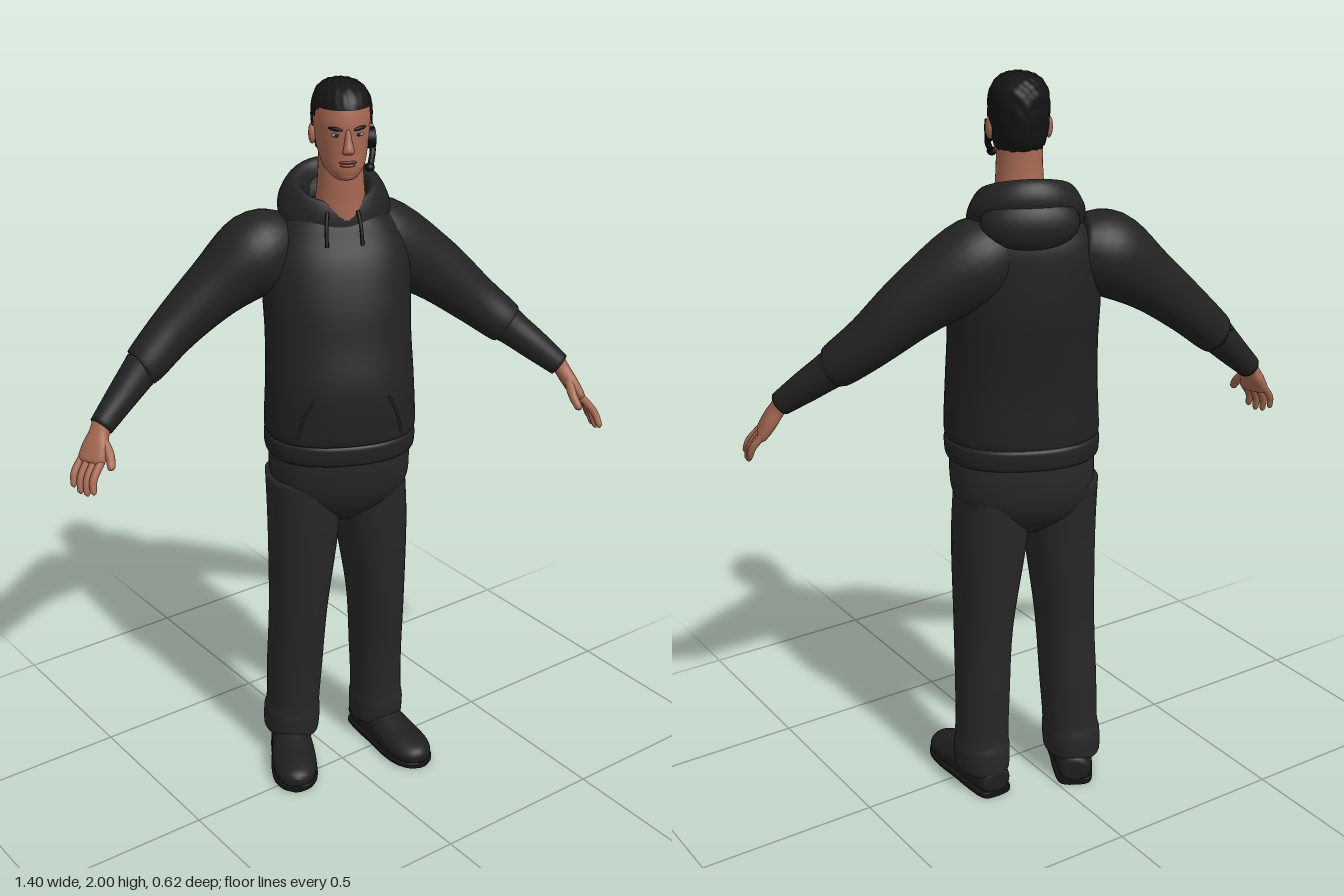
import * as THREE from 'three';

const mat = (name, color, side = THREE.FrontSide) => {
  const m = new THREE.MeshStandardMaterial({ color, side });
  m.name = name;
  return m;
};
const V = (x, y, z) => new THREE.Vector3(x, y, z);
const UP = V(0, 1, 0);

// Smooth interpolation of rows [x, y, z, halfWidth, halfDepth]
function densify(rows, steps) {
  const out = [], at = i => rows[Math.max(0, Math.min(rows.length - 1, i))];
  for (let i = 0; i < rows.length - 1; i++) {
    for (let s = 0; s < steps; s++) {
      const t = s / steps, [p, q, r, w] = [at(i - 1), at(i), at(i + 1), at(i + 2)];
      out.push(q.map((b, k) => {
        const a = p[k], c = r[k], d = w[k];
        return 0.5 * (2 * b + (c - a) * t + (2 * a - 5 * b + 4 * c - d) * t * t + (3 * b - a - 3 * c + d) * t * t * t);
      }));
    }
  }
  out.push(at(rows.length - 1));
  return out;
}

// Skin of rounded rings; axis fixes the ring direction, otherwise rings follow the path
function loft(rows, { side = V(1, 0, 0), axis = null, n = 2, seg = 32, steps = 5, caps = true } = {}) {
  const d = densify(rows, steps), pos = [], idx = [];
  const pt = i => V(...d[Math.max(0, Math.min(d.length - 1, i))].slice(0, 3));
  const pw = c => Math.sign(c) * Math.pow(Math.abs(c), 2 / n);
  d.forEach((row, i) => {
    const t = axis ? axis.clone().normalize() : pt(i + 1).sub(pt(i - 1)).normalize();
    const u = side.clone().addScaledVector(t, -side.dot(t)).normalize(), v = t.clone().cross(u);
    for (let j = 0; j < seg; j++) {
      const th = j / seg * Math.PI * 2;
      const p = pt(i).addScaledVector(u, pw(Math.cos(th)) * Math.max(row[3], 0.001))
        .addScaledVector(v, pw(Math.sin(th)) * Math.max(row[4], 0.001));
      pos.push(p.x, p.y, p.z);
      if (i < d.length - 1) {
        const a = i * seg + j, b = i * seg + (j + 1) % seg;
        idx.push(a, b, a + seg, b, b + seg, a + seg);
      }
    }
  });
  if (caps) {
    const c0 = d.length * seg, last = c0 - seg;
    pos.push(...pt(0).toArray(), ...pt(d.length - 1).toArray());
    for (let j = 0; j < seg; j++) {
      const k = (j + 1) % seg;
      idx.push(c0, k, j, c0 + 1, last + j, last + k);
    }
  }
  const g = new THREE.BufferGeometry();
  g.setAttribute('position', new THREE.Float32BufferAttribute(pos, 3));
  g.setIndex(idx);
  g.computeVertexNormals();
  return g;
}

function add(parent, name, geo, material, p = [0, 0, 0], scale = [1, 1, 1]) {
  const m = new THREE.Mesh(geo, material);
  m.name = name;
  m.position.set(...p);
  m.scale.set(...scale);
  parent.add(m);
  return m;
}
const cord = (pts, r) => new THREE.TubeGeometry(new THREE.CatmullRomCurve3(pts.map(p => V(...p))), 16, r, 8);

export function createModel() {
  const hoodieMat = mat('hoodie black', 0x222222), hoodMat = mat('hood black', 0x222222, THREE.DoubleSide);
  const pantsMat = mat('trouser black', 0x272727), shoeMat = mat('shoe black', 0x1e1e1e);
  const soleMat = mat('sole black', 0x131313), skin = mat('skin', 0xa86a53);
  const hairMat = mat('hair black', 0x141414, THREE.DoubleSide), lipMat = mat('lip brown', 0x7a4238);
  const eyeMat = mat('eye grey', 0x8d9496), gearMat = mat('headset black', 0x0e0e0e);
  const root = new THREE.Group();
  root.name = 'figure';
  const ball = new THREE.SphereGeometry(1, 24, 16);

  // Torso, turned slightly to its right
  const torso = new THREE.Group();
  torso.name = 'torso';
  torso.position.set(0.04, 0, -0.07);
  torso.rotation.y = -0.43;
  root.add(torso);
  add(torso, 'hoodieBody', loft([
    [0, 0.99, 0, 0.19, 0.148], [0, 1.0, 0, 0.204, 0.16], [0, 1.04, 0, 0.206, 0.163], [0, 1.052, 0, 0.2, 0.158],
    [0, 1.07, 0.004, 0.206, 0.168], [0, 1.2, 0.003, 0.2, 0.167], [0, 1.32, -0.015, 0.196, 0.16],
    [0, 1.42, -0.03, 0.198, 0.155], [0, 1.52, -0.045, 0.195, 0.14], [0, 1.59, -0.058, 0.175, 0.122],
    [0, 1.64, -0.06, 0.135, 0.1], [0, 1.67, -0.06, 0.08, 0.075]], { axis: UP, n: 2.3, seg: 48 }), hoodieMat);
  add(torso, 'hips', loft([[0, 0.78, -0.01, 0.06, 0.06], [0, 0.83, -0.01, 0.15, 0.11], [0, 0.89, -0.008, 0.187, 0.14],
    [0, 0.95, -0.004, 0.194, 0.15], [0, 1.02, 0, 0.19, 0.15]], { axis: UP, n: 2.3, seg: 40 }), pantsMat);

  // Hood lying around the neck, higher at the back
  add(torso, 'hoodCollar', loft([[0, 1.6, -0.06, 0.14, 0.115], [0, 1.655, -0.068, 0.15, 0.128],
    [0, 1.7, -0.064, 0.132, 0.118], [0, 1.722, -0.058, 0.108, 0.098], [0, 1.705, -0.052, 0.086, 0.082],
    [0, 1.64, -0.05, 0.075, 0.072]], { axis: V(0, 0.92, 0.39), seg: 40, caps: false }), hoodMat);
  add(torso, 'hoodFold', ball, hoodieMat, [0, 1.65, -0.14], [0.125, 0.075, 0.06]).rotation.x = 0.2;
  for (const s of [-1, 1]) {
    add(torso, 'drawstring', cord([[s * 0.04, 1.665, 0.045], [s * 0.045, 1.63, 0.06], [s * 0.047, 1.58, 0.075]], 0.005), gearMat);
    add(torso, 'pocketSeam', cord([[s * 0.1, 1.19, 0.155], [s * 0.125, 1.14, 0.147], [s * 0.14, 1.08, 0.138]], 0.004), hoodieMat);
  }

  // Sleeves with a pushed-up fold below the elbow
  const sleeves = {
    left: [[0.1, 1.565, -0.125, 0.08, 0.08], [0.19, 1.545, -0.1, 0.108, 0.112], [0.33, 1.452, -0.045, 0.086, 0.09],
      [0.44, 1.35, 0.012, 0.067, 0.07], [0.505, 1.285, 0.065, 0.058, 0.06], [0.518, 1.272, 0.078, 0.049, 0.05],
      [0.57, 1.218, 0.13, 0.041, 0.042], [0.617, 1.167, 0.18, 0.031, 0.033]],
    right: [[-0.05, 1.565, -0.18, 0.08, 0.08], [-0.13, 1.54, -0.2, 0.108, 0.11], [-0.25, 1.455, -0.23, 0.084, 0.082],
      [-0.36, 1.365, -0.25, 0.066, 0.066], [-0.45, 1.287, -0.253, 0.057, 0.057], [-0.463, 1.276, -0.253, 0.049, 0.05],
      [-0.53, 1.215, -0.247, 0.041, 0.041], [-0.602, 1.153, -0.235, 0.031, 0.033]]
  };
  for (const k in sleeves) add(root, k + 'Sleeve', loft(sleeves[k], { side: V(0, 0, 1) }), hoodieMat);

  // Hands: palm, four fingers and thumb, placed from wrist and fingertips
  function hand(name, wrist, index, pinky, thumb, inward) {
    const g = new THREE.Group();
    g.name = name;
    root.add(g);
    const w = V(...wrist), across = V(...index).sub(V(...pinky)).normalize();
    const mid = V(...index).add(V(...pinky)).multiplyScalar(0.5);
    const row = (t, a, b) => [...w.clone().lerp(mid, t).toArray(), a, b];
    add(g, 'palm', loft([row(-0.08, 0.026, 0.024), row(0.08, 0.027, 0.021), row(0.3, 0.038, 0.02),
      row(0.52, 0.041, 0.016), row(0.58, 0.03, 0.008)], { side: across, n: 2.4, seg: 20 }), skin);
    const digit = (label, a, b, r, bend) => {
      const m = a.clone().lerp(b, 0.5);
      m.x -= inward * bend;
      add(g, label, loft([[...a.toArray(), r, r], [...m.toArray(), r, r], [...a.clone().lerp(b, 0.93).toArray(), r * 0.8, r * 0.8],
        [...b.toArray(), 0.002, 0.002]], { side: across, seg: 12, steps: 4 }), skin);
    };
    for (let i = 0; i < 4; i++) {
      const f = i / 3, tip = V(...index).lerp(V(...pinky), f);
      tip.y -= 0.013 * Math.sin(f * Math.PI);
      const knuckle = w.clone().lerp(mid, 0.5).addScaledVector(across, 0.031 - 0.062 * f);
      digit('finger', knuckle, tip, 0.0105 - 0.001 * f, 0.01);
    }
    digit('thumb', w.clone().lerp(mid, 0.18).addScaledVector(across, 0.018), V(...thumb), 0.0125, -0.006);
  }
  hand('leftHand', [0.617, 1.167, 0.18], [0.672, 1.005, 0.302], [0.692, 1.01, 0.235], [0.605, 1.068, 0.283], 1 * -1);
  hand('rightHand', [-0.602, 1.153, -0.235], [-0.675, 1.005, -0.165], [-0.698, 1.01, -0.228], [-0.622, 1.065, -0.152], 1);

  // Trouser legs, hem to hip
  const legs = {
    left: [[0.172, 0.06, -0.068, 0.06, 0.074], [0.172, 0.07, -0.068, 0.07, 0.082], [0.172, 0.13, -0.066, 0.073, 0.084],
      [0.17, 0.17, -0.064, 0.07, 0.079], [0.165, 0.3, -0.062, 0.07, 0.083], [0.153, 0.5, -0.05, 0.073, 0.095],
      [0.134, 0.75, -0.052, 0.094, 0.112], [0.122, 0.92, -0.055, 0.095, 0.118]],
    right: [[-0.082, 0.07, -0.145, 0.062, 0.076], [-0.082, 0.08, -0.145, 0.074, 0.084], [-0.08, 0.14, -0.143, 0.077, 0.085],
      [-0.078, 0.18, -0.14, 0.073, 0.08], [-0.076, 0.3, -0.132, 0.076, 0.083], [-0.073, 0.5, -0.115, 0.077, 0.09],
      [-0.06, 0.75, -0.105, 0.092, 0.105], [-0.055, 0.92, -0.11, 0.095, 0.115]]
  };
  for (const k in legs) add(root, k + 'Leg', loft(legs[k], { axis: UP, n: 2.2 }), pantsMat);

  // Shoes: upper flattened onto a thin sole
  const shoeRows = [[0, 0.04, -0.08, 0.015, 0.02], [0, 0.045, -0.07, 0.044, 0.042], [0, 0.052, 0, 0.055, 0.06],
    [0, 0.05, 0.06, 0.058, 0.055], [0, 0.04, 0.13, 0.064, 0.044], [0, 0.034, 0.19, 0.06, 0.036],
    [0, 0.03, 0.23, 0.04, 0.027], [0, 0.028, 0.245, 0.012, 0.012]];
  const upper = loft(shoeRows, { axis: V(0, 0, 1) }), up = upper.attributes.position;
  for (let i = 0; i < up.count; i++) up.setY(i, Math.max(up.getY(i), 0.012));
  upper.computeVertexNormals();
  const sole = loft(shoeRows.map(r => [0, 0.01, r[2] * 1.01, r[3] * 1.04, 0.01]), { axis: V(0, 0, 1), n: 5 });
  for (const [name, x, z, turn] of [['leftShoe', 0.17, -0.07, -0.03], ['rightShoe', -0.08, -0.155, -0.52]]) {
    const g = new THREE.Group();
    g.name = name;
    g.position.set(x, 0, z);
    g.rotation.y = turn;
    add(g, 'upper', upper, shoeMat);
    add(g, 'sole', sole, soleMat);
    root.add(g);
  }

  // Head and neck
  const head = new THREE.Group();
  head.name = 'head';
  head.position.set(0.045, 0, -0.065);
  head.rotation.y = -0.46;
  root.add(head);
  add(head, 'neck', loft([[0, 1.6, -0.025, 0.075, 0.07], [0, 1.68, -0.02, 0.066, 0.064], [0, 1.75, -0.015, 0.06, 0.062],
    [0, 1.82, -0.015, 0.058, 0.062]], { axis: UP }), skin);
  const skull = loft([[0, 1.752, 0.052, 0.012, 0.012], [0, 1.76, 0.048, 0.03, 0.034], [0, 1.785, 0.028, 0.052, 0.063],
    [0, 1.825, 0.006, 0.064, 0.086], [0, 1.87, 0, 0.07, 0.093], [0, 1.91, -0.002, 0.072, 0.095],
    [0, 1.95, -0.005, 0.066, 0.087], [0, 1.977, -0.007, 0.046, 0.062], [0, 1.989, -0.008, 0.012, 0.016]],
  { axis: UP, seg: 64, steps: 7 });
  add(head, 'face', skull, skin);

  // Hair: part of the skull above a sloping hairline, puffed out in small tufts
  const hair = skull.clone(), hp = skull.attributes.position, tri = skull.index.array, kept = [];
  const isHair = i => hp.getY(i) > 1.795 + 0.135 * THREE.MathUtils.smoothstep(hp.getZ(i), -0.05, 0.05);
  for (let i = 0; i < tri.length; i += 3) {
    if (isHair(tri[i]) && isHair(tri[i + 1]) && isHair(tri[i + 2])) kept.push(tri[i], tri[i + 1], tri[i + 2]);
  }
  for (let i = 0; i < hp.count; i++) {
    const [x, y, z] = [hp.getX(i), hp.getY(i), hp.getZ(i)];
    const f = 1.075 + 0.018 * Math.sin(x * 210) * Math.sin(z * 190 + y * 120);
    hair.attributes.position.setXYZ(i, x * f, 1.87 + (y - 1.87) * (f - 0.015), z * f);
  }
  hair.setIndex(kept);
  hair.computeVertexNormals();
  add(head, 'hair', hair, hairMat);

  // Facial features
  add(head, 'nose', loft([[0, 1.826, 0.092, 0.008, 0.006], [0, 1.832, 0.098, 0.016, 0.013], [0, 1.842, 0.1, 0.014, 0.015],
    [0, 1.865, 0.092, 0.009, 0.012], [0, 1.89, 0.085, 0.007, 0.009]], { axis: UP, seg: 16 }), skin);
  add(head, 'upperLip', ball, lipMat, [0, 1.806, 0.089], [0.023, 0.004, 0.009]);
  add(head, 'lowerLip', ball, lipMat, [0, 1.798, 0.087], [0.02, 0.005, 0.009]);
  add(head, 'chin', ball, skin, [0, 1.772, 0.07], [0.024, 0.018, 0.018]);
  for (const s of [-1, 1]) {
    add(head, 'eye', ball, eyeMat, [s * 0.029, 1.875, 0.083], [0.012, 0.005, 0.005]);
    add(head, 'pupil', ball, hairMat, [s * 0.028, 1.875, 0.087], [0.0045, 0.0045, 0.003]);
    const brow = add(head, 'eyebrow', ball, hairMat, [s * 0.031, 1.891, 0.085], [0.019, 0.005, 0.005]);
    brow.rotation.set(0, s * 0.45, s * 0.12);
    add(head, 'ear', ball, skin, [s * 0.074, 1.86, -0.012], [0.01, 0.028, 0.018]).rotation.y = s * 0.3;
  }

  // Headset on the left cheek
  const cup = add(head, 'earpiece', new THREE.CylinderGeometry(0.026, 0.028, 0.022, 24), gearMat, [0.07, 1.848, 0.018]);
  cup.rotation.z = Math.PI / 2;
  add(head, 'microphoneArm', cord([[0.076, 1.845, 0.015], [0.074, 1.815, 0.032], [0.064, 1.79, 0.058]], 0.008), gearMat);
  add(head, 'microphone', ball, gearMat, [0.06, 1.785, 0.066], [0.013, 0.011, 0.014]);
  return root;
}
